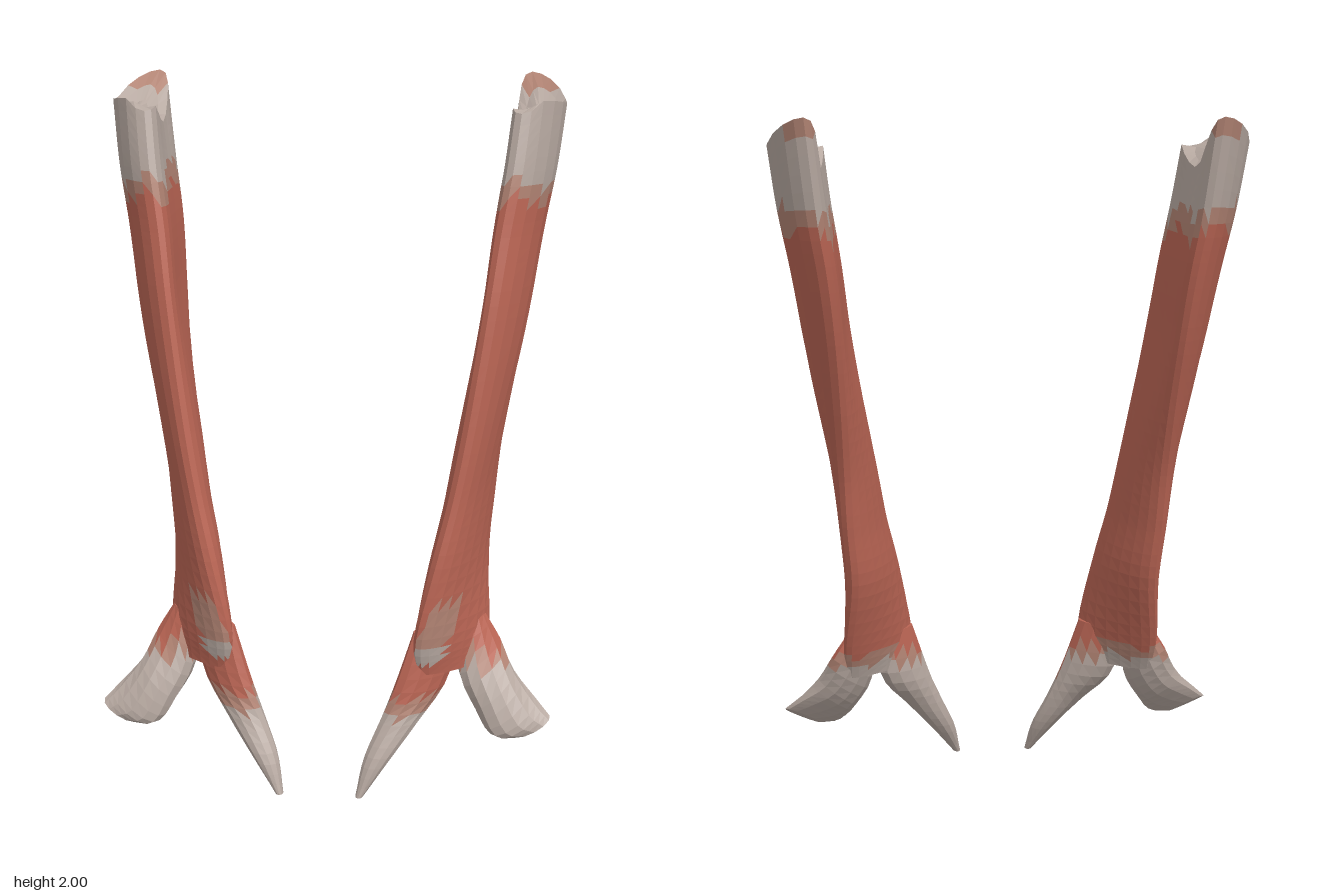
import * as THREE from 'three';

const flat = (name, color) => {
  const m = new THREE.MeshStandardMaterial({ color, flatShading: true });
  m.name = name;
  return m;
};

// Small repeatable noise for the ragged colour borders
const ragged = (p) => Math.sin(p.x * 61 + p.z * 23) * 0.6 + Math.sin(p.z * 67 - p.x * 31) * 0.4;

// Horizontal strap section: centre, half width, half thickness, turn in degrees
function strap(x, y, z, a, b, deg) {
  const t = THREE.MathUtils.degToRad(deg), s = Math.sin(t), c = Math.cos(t);
  return [[x, y, z], [a * s, 0, -a * c], [b * c, 0, b * s]];
}

// Lofts smooth elliptical sections [centre, long axis, short axis] and closes both ends.
// paint(point, normal) returns a material index; side mirrors the result in x.
function loft(sections, rows, sides, side, paint, warp) {
  const curves = [0, 1, 2].map((k) => new THREE.CatmullRomCurve3(
    sections.map((s) => new THREE.Vector3(...s[k])), false, 'catmullrom'));
  const steps = [[0, 0]];
  for (let i = 0; i <= rows; i++) steps.push([i / rows, 1]);
  steps.push([1, 0.7], [1, 0.35], [1, 0]);

  const rings = steps.map(([t, scale]) => {
    const [c, a, b] = curves.map((curve) => curve.getPoint(t));
    if (a.clone().cross(b).dot(curves[0].getTangent(t)) < 0) b.negate();
    return Array.from({ length: sides }, (_, j) => {
      const w = (j / sides) * Math.PI * 2, u = Math.cos(w) * scale;
      const p = c.clone().addScaledVector(a, u).addScaledVector(b, Math.sin(w) * scale);
      if (warp) warp(p, u, scale);
      return p;
    });
  });

  const lists = [[], [], []];
  const normal = new THREE.Vector3(), centre = new THREE.Vector3();
  const addFace = (p, q, r) => {
    const tri = new THREE.Triangle(p, q, r);
    if (tri.getArea() < 1e-8) return;
    tri.getNormal(normal);
    tri.getMidpoint(centre);
    const order = side > 0 ? [p, q, r] : [p, r, q];
    for (const v of order) lists[paint(centre, normal)].push(v.x * side, v.y, v.z);
  };
  for (let i = 0; i + 1 < rings.length; i++) {
    for (let j = 0; j < sides; j++) {
      const k = (j + 1) % sides;
      addFace(rings[i][j], rings[i][k], rings[i + 1][k]);
      addFace(rings[i][j], rings[i + 1][k], rings[i + 1][j]);
    }
  }

  const geometry = new THREE.BufferGeometry();
  geometry.setAttribute('position', new THREE.Float32BufferAttribute(lists.flat(), 3));
  let start = 0;
  lists.forEach((list, m) => {
    if (list.length) geometry.addGroup(start, list.length / 3, m);
    start += list.length / 3;
  });
  geometry.computeVertexNormals();
  return geometry;
}

// Main strap, from the fork up to the top edge
const STRAP = [
  strap(0.365, 0.34, 0.165, 0.125, 0.035, 48),
  strap(0.365, 0.45, 0.15, 0.155, 0.05, 39),
  strap(0.38, 0.65, 0.105, 0.165, 0.058, 23),
  strap(0.408, 0.83, 0.07, 0.163, 0.055, 17),
  strap(0.428, 1.0, 0.042, 0.165, 0.057, 12),
  strap(0.448, 1.2, -0.005, 0.182, 0.06, 7),
  strap(0.469, 1.4, -0.055, 0.198, 0.062, 4),
  strap(0.491, 1.58, -0.1, 0.2, 0.068, 3),
  strap(0.519, 1.75, -0.135, 0.197, 0.072, 3),
  strap(0.542, 1.93, -0.172, 0.188, 0.072, 4),
];

// Pointed inner prong
const PRONG = [
  [[0.32, 0.46, 0.187], [0.06, 0, -0.05], [0.02, 0, 0.025]],
  [[0.282, 0.31, 0.212], [0.07, 0, -0.05], [0.025, 0, 0.035]],
  [[0.22, 0.2, 0.26], [0.055, 0, -0.015], [0.01, 0, 0.037]],
  [[0.16, 0.1, 0.307], [0.037, 0, -0.005], [0.005, 0, 0.036]],
  [[0.114, 0.003, 0.348], [0.01, 0, -0.005], [0.004, 0, 0.015]],
];

// Blunt outer foot
const FOOT = [
  [[0.42, 0.47, 0.105], [0.03, 0.01, -0.035], [0.02, 0, 0.02]],
  [[0.445, 0.36, 0.125], [0.055, 0.04, -0.05], [0.025, 0.01, 0.042]],
  [[0.49, 0.272, 0.165], [0.053, 0.047, -0.042], [0.02, 0.01, 0.056]],
  [[0.545, 0.206, 0.2], [0.064, 0.045, -0.03], [0.015, -0.01, 0.048]],
  [[0.597, 0.182, 0.21], [0.053, 0.028, -0.012], [0.01, -0.01, 0.026]],
];

// Bows the upper strap outward, raises its back lip, and slopes its top inward
function shapeTop(p, u, scale) {
  const lift = Math.max(0, (p.y - 1.7) / 0.23);
  const front = Math.max(0, -u - 0.8) * 0.2;
  const edge = u < 0.2 ? 1.945 - 0.022 * (u + 1) - front : 1.919 + 0.081 * (u - 0.2) / 0.8;
  p.x += 0.042 * THREE.MathUtils.smoothstep(p.y, 0.85, 1.45) * (1 - u * u);
  const inner = THREE.MathUtils.clamp((0.57 - p.x) / 0.06, 0, 1) * (1 - u * u);
  p.y += lift * (edge - 1.93 - 0.065 * inner);
  if (lift > 0.99) p.y -= 0.02 * (1 - scale * scale);
}

// Material indices: 0 red, 1 blend, 2 pale
function paintStrap(p, n) {
  if (p.y > 1.955) return 1;
  const top = p.y - 0.035 * ragged(p) + 0.12 * (p.z + 0.1);
  if (top > 1.73) return 2;
  if (top > 1.675) return 1;
  const low = p.y + 0.02 * ragged(p);
  if (n.z < 0 && low < 0.42) return low < 0.38 ? 2 : 1;
  const off = Math.abs(p.x - 0.29 - 0.35 * (p.y - 0.37));
  if (n.z > 0.1 && p.y > 0.37 && p.y < 0.55 && off < 0.045) return p.y > 0.42 ? 1 : 2;
  return 0;
}
// Pale below a level, which sits higher on the back by rise
const paintBelow = (level, rise) => (p, n) => {
  const y = p.y + 0.02 * ragged(p) - (n.z < 0 ? rise : 0);
  return y < level ? 2 : y < level + 0.04 ? 1 : 0;
};

export function createModel() {
  const materials = [flat('red', 0xba6554), flat('blend', 0xb18373), flat('pale', 0xb7a9a1)];
  const model = new THREE.Group();
  model.name = 'strapPair';
  for (const side of [1, -1]) {
    const half = new THREE.Group();
    half.name = side > 0 ? 'leftStrap' : 'rightStrap';
    const add = (name, geometry) => {
      const mesh = new THREE.Mesh(geometry, materials);
      mesh.name = name;
      half.add(mesh);
    };
    add('strapBody', loft(STRAP, 44, 20, side, paintStrap, shapeTop));
    add('innerProng', loft(PRONG, 14, 12, side, paintBelow(0.23, 0.13)));
    add('outerFoot', loft(FOOT, 12, 12, side, paintBelow(0.34, 0.04)));
    model.add(half);
  }
  return model;
}
